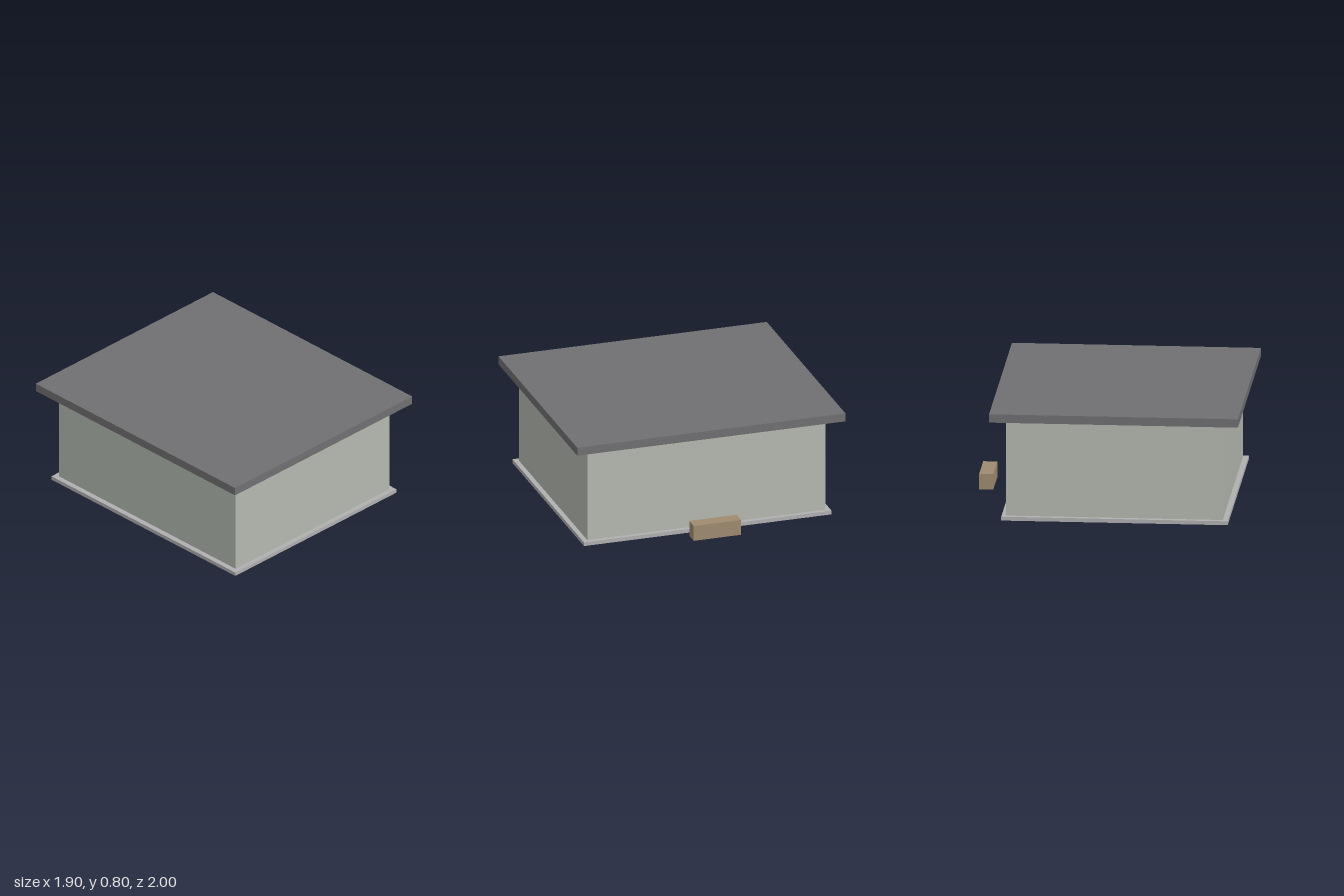
import * as THREE from 'three';

// Box given by its [min, max] extents on each axis
function block(name, color, [x0, x1], [y0, y1], [z0, z1]) {
  const mesh = new THREE.Mesh(
    new THREE.BoxGeometry(x1 - x0, y1 - y0, z1 - z0),
    new THREE.MeshStandardMaterial({ color })
  );
  mesh.position.set((x0 + x1) / 2, (y0 + y1) / 2, (z0 + z1) / 2);
  mesh.name = name;
  return mesh;
}

export function createModel() {
  const group = new THREE.Group();
  group.name = 'building';

  const slabTop = 0.028, wallTop = 0.735, roofTop = 0.796;

  group.add(
    // Thin foundation, slightly wider than the walls
    block('foundationSlab', 0xb0b0b0, [-0.875, 0.733], [0, slabTop], [-0.923, 0.923]),
    // Closed wall volume
    block('walls', 0xb4b9b0, [-0.837, 0.7], [slabTop, wallTop], [-0.887, 0.887]),
    // Flat overhanging roof
    block('roof', 0x707072, [-0.954, 0.813], [wallTop, roofTop], [-1, 1]),
    // Free-standing bench beside the building
    block('bench', 0xa08b70, [0.85, 0.95], [slabTop, 0.142], [-0.177, 0.177])
  );

  return group;
}
